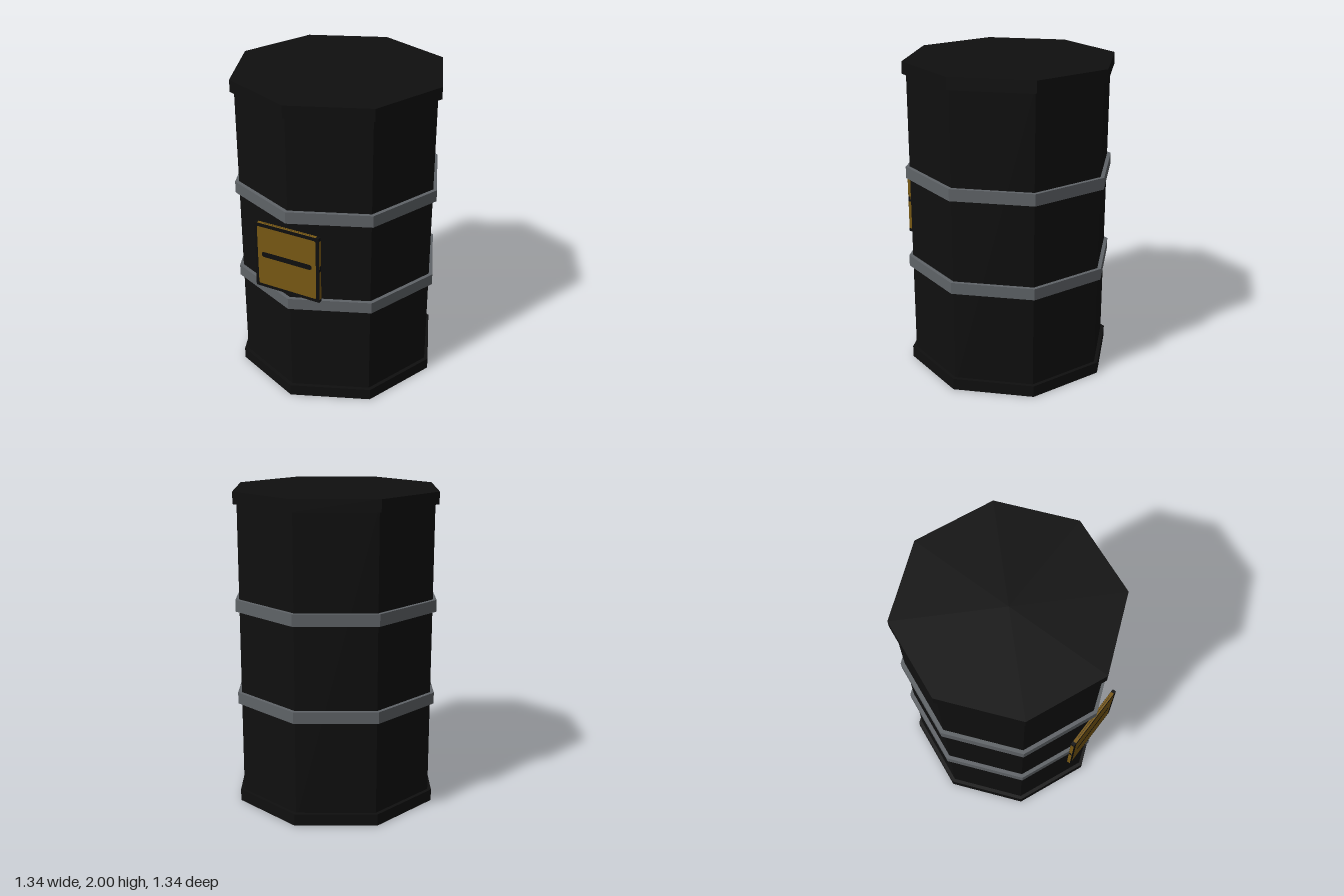
import * as THREE from 'three';

export function createModel() {
  const material = (name, color) => {
    const m = new THREE.MeshStandardMaterial({ color, flatShading: true });
    m.name = name;
    return m;
  };
  const black = material('barrel black', 0x0f0f0f);
  const grey = material('band grey', 0x5f6367);
  const yellow = material('label yellow', 0x785813);

  const model = new THREE.Group();
  model.name = 'barrel';

  const add = (parent, name, geometry, mat, x = 0, y = 0, z = 0) => {
    const mesh = new THREE.Mesh(geometry, mat);
    mesh.name = name;
    mesh.position.set(x, y, z);
    parent.add(mesh);
    return mesh;
  };

  // Eight-sided body, with a corner facing the front
  const ring = (name, radius, bottom, top, mat) =>
    add(model, name, new THREE.CylinderGeometry(radius, radius, top - bottom, 8), mat, 0, (bottom + top) / 2);
  ring('body', 0.643, 0.03, 1.97, black);
  ring('bottomRim', 0.668, 0, 0.075, black);
  ring('topRim', 0.668, 1.925, 2, black);
  ring('lowerBand', 0.668, 0.667, 0.74, grey);
  ring('upperBand', 0.668, 1.265, 1.34, grey);

  // Label plate on the front corner
  const size = 0.44, depth = 0.024;
  const label = new THREE.Group();
  label.name = 'label';
  label.position.set(0, 1, 0.655);
  model.add(label);
  add(label, 'labelPlate', new THREE.BoxGeometry(size, size, depth), black);

  // Rectangle with cut corners, used for the label's painted areas
  const cutRect = (w, h, c) => {
    const x = w / 2, y = h / 2;
    return new THREE.ShapeGeometry(new THREE.Shape([
      [-x + c, -y], [x - c, -y], [x, -y + c], [x, y - c],
      [x - c, y], [-x + c, y], [-x, y - c], [-x, -y + c],
    ].map(([px, py]) => new THREE.Vector2(px, py))));
  };
  const field = cutRect(0.905, 0.905, 0.015);
  const stripe = cutRect(0.77, 0.08, 0.02);

  // Yellow field and black stripe on every face of the plate
  const faces = [
    ['front', 0, 0, size, size, depth],
    ['back', 0, Math.PI, size, size, depth],
    ['left', 0, Math.PI / 2, depth, size, size],
    ['right', 0, -Math.PI / 2, depth, size, size],
    ['top', -Math.PI / 2, 0, size, depth, size],
    ['bottom', Math.PI / 2, 0, size, depth, size],
  ];
  for (const [name, rx, ry, w, h, d] of faces) {
    const face = new THREE.Group();
    face.name = name + 'LabelFace';
    face.rotation.set(rx, ry, 0);
    label.add(face);
    add(face, name + 'Field', field, yellow, 0, 0, d / 2 + 0.001).scale.set(w, h, 1);
    add(face, name + 'Stripe', stripe, black, 0, 0.027 * h, d / 2 + 0.002).scale.set(w, h, 1);
  }
  return model;
}
